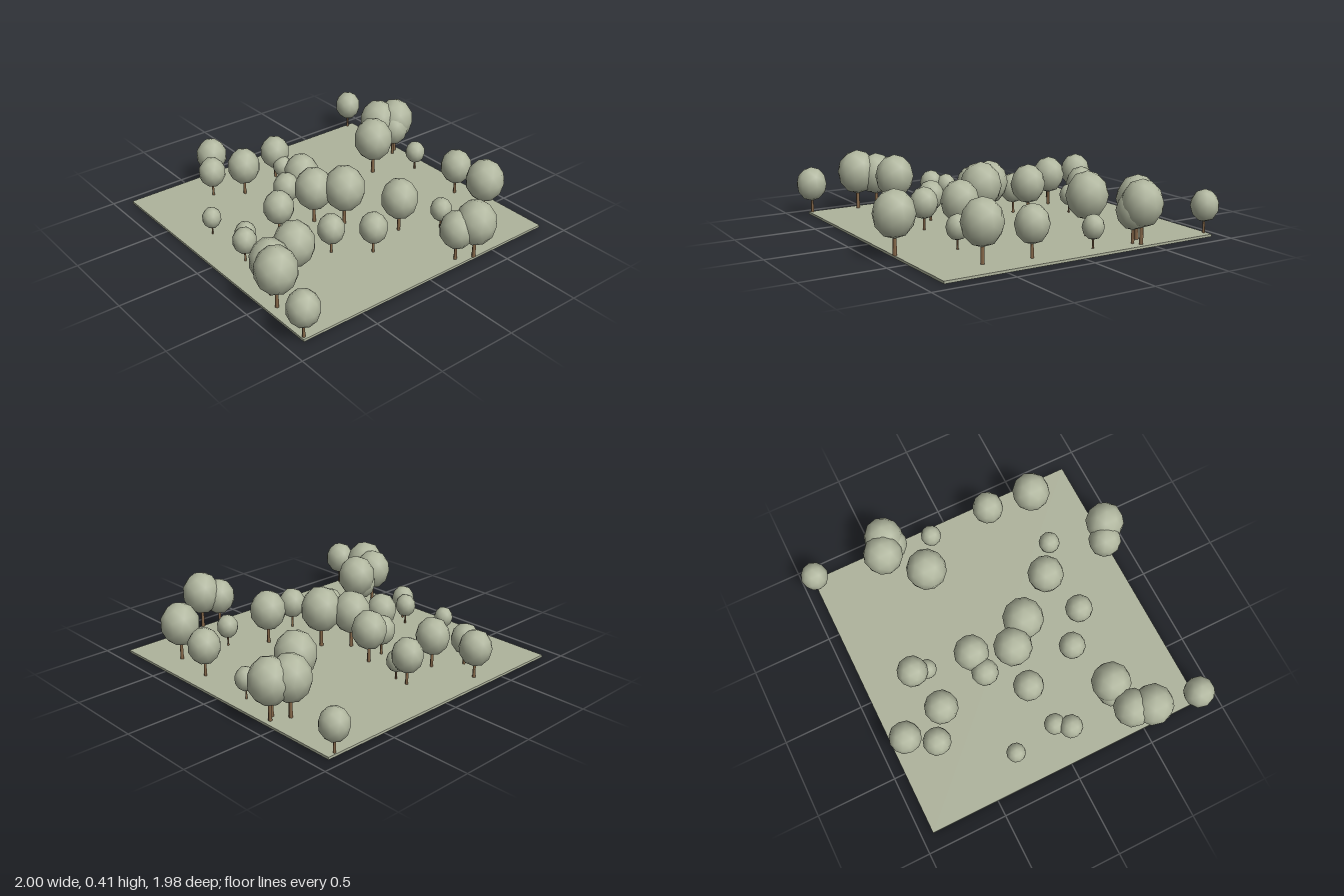
import * as THREE from 'three';

const foliage = new THREE.MeshStandardMaterial({ name: 'sage foliage', color: 0xb1b79f });
const grass = new THREE.MeshStandardMaterial({ name: 'sage ground', color: 0xaeb39c });
const bark = new THREE.MeshStandardMaterial({ name: 'brown bark', color: 0x87694a });

const GROUND_TOP = 0.015;

// Each tree: x, z, crown radius
const TREES = [
  [-0.915, -0.855, 0.085], [-0.425, -0.87, 0.122], [-0.395, -0.83, 0.1], [-0.475, -0.765, 0.123],
  [-0.135, -0.8, 0.064], [0.265, -0.785, 0.098], [0.555, -0.745, 0.118], [-0.275, -0.55, 0.125],
  [0.52, -0.415, 0.066], [0.875, -0.345, 0.12], [0.825, -0.245, 0.102], [0.38, -0.2, 0.112],
  [-0.63, -0.005, 0.094], [-0.54, 0, 0.06], [-0.26, 0.055, 0.107], [-0.235, 0.19, 0.083],
  [-0.02, 0.14, 0.118], [0.115, 0.01, 0.126], [0.47, 0.08, 0.085], [0.32, 0.275, 0.082],
  [-0.57, 0.28, 0.102], [-0.84, 0.35, 0.097], [-0.68, 0.45, 0.085], [-0.04, 0.39, 0.093],
  [-0.285, 0.71, 0.058], [0, 0.66, 0.064], [0.08, 0.72, 0.071], [0.405, 0.605, 0.12],
  [0.395, 0.645, 0.09], [0.445, 0.8, 0.115], [0.56, 0.84, 0.123], [0.86, 0.885, 0.094],
];

// Unit tree shapes, scaled by crown radius: tall faceted crown on a tapered trunk
const crownGeometry = new THREE.IcosahedronGeometry(1, 1);
crownGeometry.scale(1.02, 1.17, 1.02).translate(0, 1.96, 0);
const trunkGeometry = new THREE.CylinderGeometry(0.07, 0.1, 1.6, 6);
trunkGeometry.translate(0, 0.8, 0);

function makeTree([x, z, radius]) {
  const tree = new THREE.Group();
  tree.name = 'tree';
  const trunk = new THREE.Mesh(trunkGeometry, bark);
  trunk.name = 'trunk';
  const crown = new THREE.Mesh(crownGeometry, foliage);
  crown.name = 'crown';
  tree.add(trunk, crown);
  tree.position.set(x, GROUND_TOP, z);
  tree.scale.setScalar(radius);
  return tree;
}

export function createModel() {
  const model = new THREE.Group();
  model.name = 'grove';

  // Thin square ground slab
  const ground = new THREE.Mesh(new THREE.BoxGeometry(1.81, GROUND_TOP, 1.81), grass);
  ground.name = 'ground';
  ground.position.set(-0.025, GROUND_TOP / 2, -0.005);
  model.add(ground);

  // Scattered trees
  for (const spec of TREES) model.add(makeTree(spec));
  return model;
}
